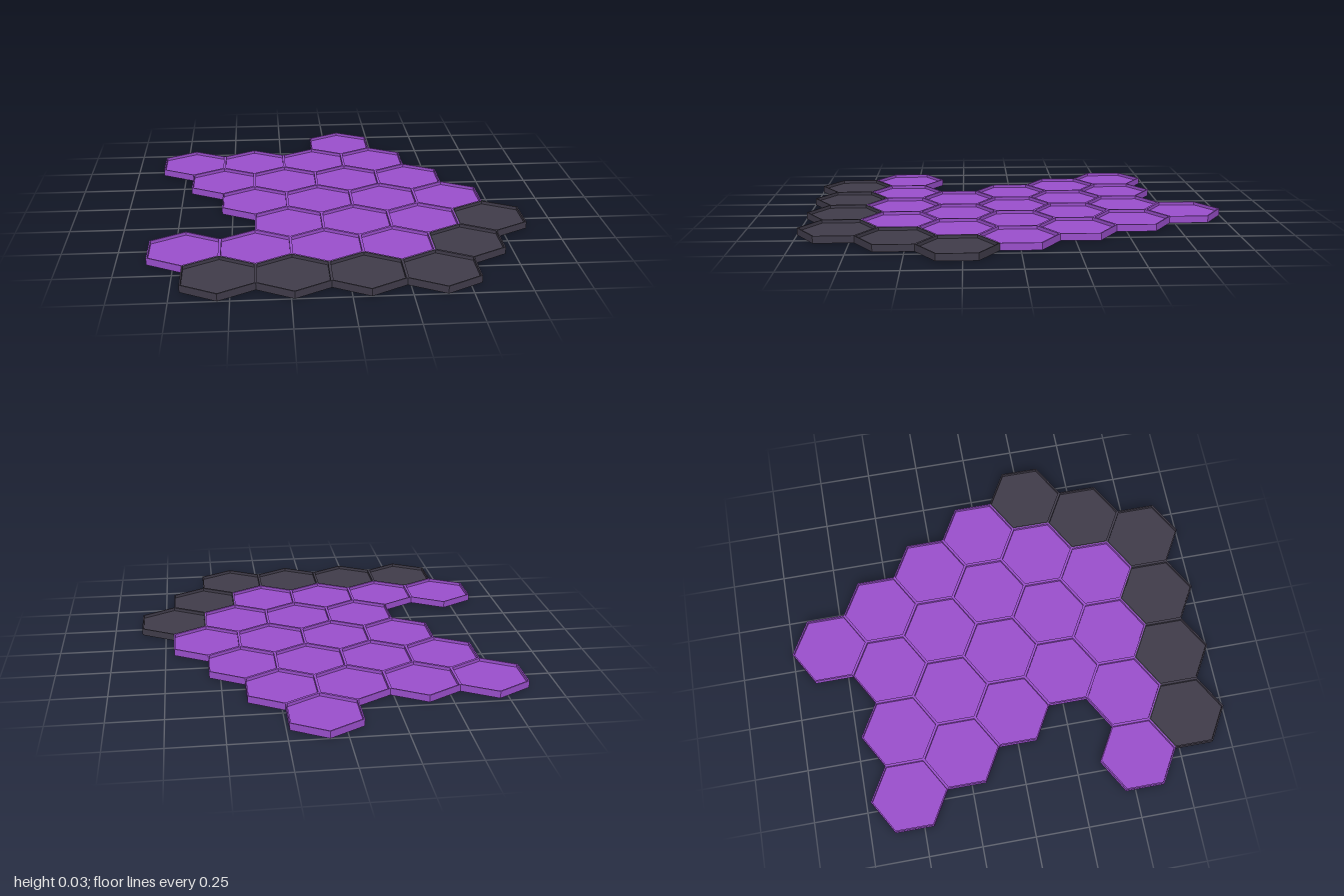
import * as THREE from 'three';

const R = 2 / 11;               // tile corner radius
const W = R * Math.sqrt(3);     // tile width across flats
const H = 0.033;                // tile height
const FLOOR = 0.018;            // height of the sunken face
const RIM = 0.007;              // rim width at the corners

// Each row runs from back to front: first centre (in tile widths), count, index of first dark tile
const ROWS = [
  [0.25, 1, 9],
  [-2.25, 4, 9],
  [-1.75, 4, 9],
  [-1.25, 4, 9],
  [-0.75, 4, 3],
  [-2.25, 5, 4],
  [-1.75, 4, 0],
];

// Closed hexagonal tray: underside, outer wall, rim, inner wall, sunken face
function trayGeometry() {
  const profile = [[0, 0], [R, 0], [R, H], [R - RIM, H], [R - RIM, FLOOR], [0, FLOOR]];
  const geometry = new THREE.LatheGeometry(profile.map(([x, y]) => new THREE.Vector2(x, y)), 6);
  const flat = geometry.toNonIndexed();
  flat.computeVertexNormals();
  return flat;
}

export function createModel() {
  const model = new THREE.Group();
  model.name = 'hexTileFloor';
  const purple = new THREE.MeshStandardMaterial({ color: 0x9a4fcc, flatShading: true });
  const dark = new THREE.MeshStandardMaterial({ color: 0x403c4a, flatShading: true });
  const tray = trayGeometry();

  ROWS.forEach(([start, count, firstDark], row) => {
    for (let i = 0; i < count; i++) {
      const isDark = i >= firstDark;
      const tile = new THREE.Mesh(tray, isDark ? dark : purple);
      tile.name = isDark ? 'darkTile' : 'purpleTile';
      tile.position.set((start + i) * W, 0, (row - 3) * 1.5 * R);
      model.add(tile);
    }
  });

  // One dark tile of the front row has a purple underside
  const underside = new THREE.Mesh(new THREE.CircleGeometry(R, 6, Math.PI / 6), purple);
  underside.name = 'purpleUnderside';
  underside.rotation.x = Math.PI / 2;
  underside.position.set(-0.75 * W, -0.0005, 4.5 * R);
  model.add(underside);

  return model;
}
